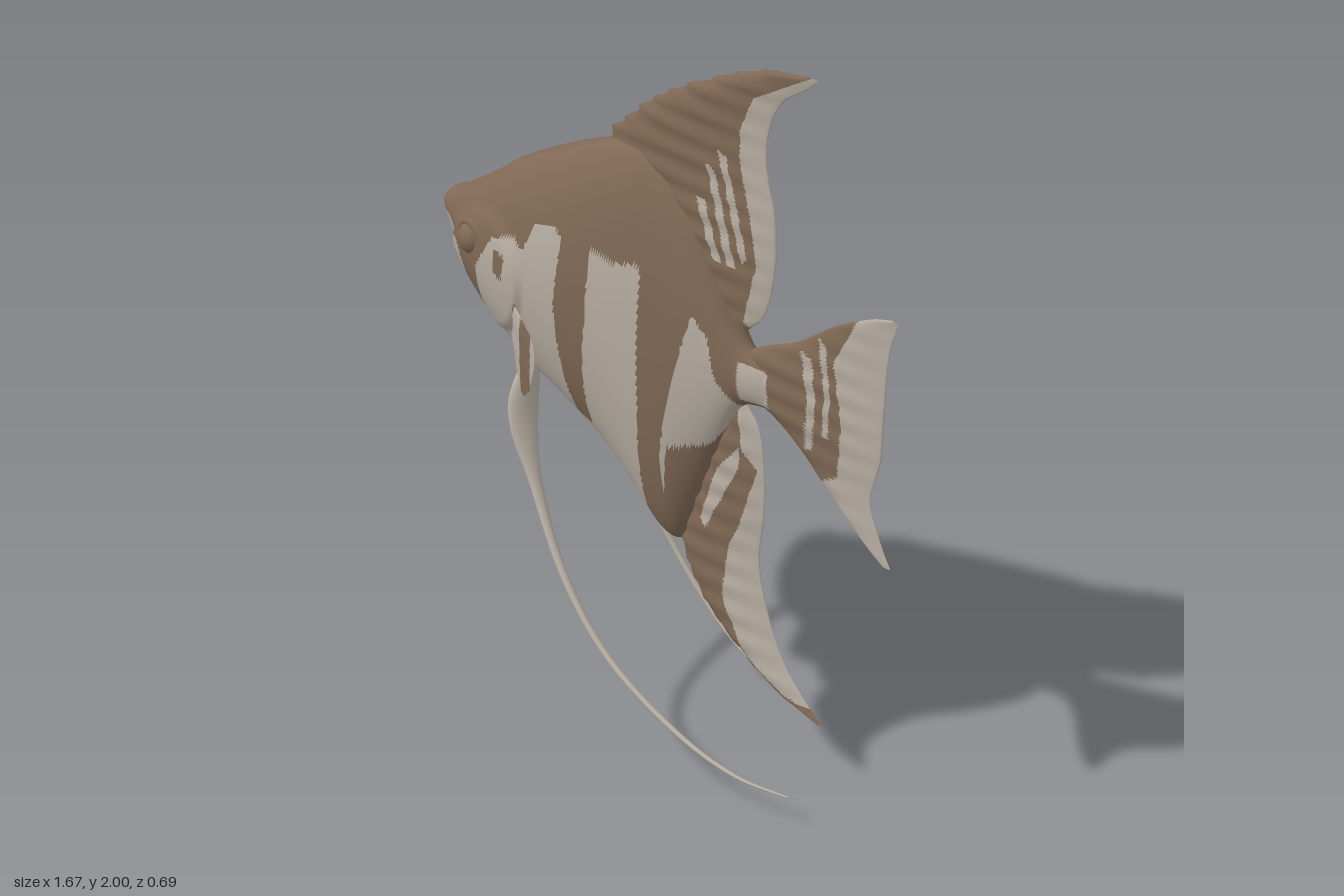
import * as THREE from 'three';

const brown = new THREE.MeshStandardMaterial({ color: 0x7f6854 });
brown.name = 'brown';
const cream = new THREE.MeshStandardMaterial({ color: 0xb6ada1 });
cream.name = 'cream';

// Cream patches per part, as flat x, y outlines in hundredths; overlaps cancel out
const PATCHES = {
  body: [
    [-86, 118, -69, 115, -66, 110, -65, 96, -78, 98],
    [-59, 112, -53, 122, -46, 124, -43, 121, -39, 130, -32, 132, -29, 129, -31, 110, -30, 92, -29, 78, -23, 77,
      -22, 94, -20, 110, -19, 130, -12, 128, -5, 130, -3, 128, -3, 92, -5, 60, -12, 50, -47, 70, -57, 87, -59, 100],
    [-52, 119, -48, 118, -49, 111, -52, 112],
    [13, 120, 18, 115, 20, 105, 26, 97, 17, 84, 5, 80, 3, 65, 3, 78, 7, 97, 11, 113],
    [27, 111, 36, 110, 36, 100, 27, 100],
  ],
  tail: [
    [66, 132, 60, 122, 63, 105, 61, 89, 53, 85, 80, 55, 95, 60, 95, 145, 72, 145],
    [48, 121, 52, 120, 54, 108, 52, 94, 49, 93, 51, 108],
    [54, 127, 57, 125, 59, 112, 58, 99, 56, 99, 57, 112],
    [20, 111, 36, 110, 36, 100, 20, 100],
  ],
  dorsal: [
    [51, 200, 30, 187, 25, 176, 25, 166, 29, 150, 31, 139, 26, 121, 40, 115, 60, 160, 60, 200],
    [17, 168, 20, 167, 28, 140, 26, 138],
    [13, 163, 16, 162, 24, 136, 21, 136],
    [10, 152, 13, 152, 19, 136, 16, 136],
  ],
  anal: [
    [24, 97, 26, 84, 31, 80, 25, 63, 21, 55, 19, 40, 27, 26, 41, 19, 60, 17, 60, 90, 35, 100],
    [25, 85, 25, 79, 13, 58, 11, 60, 17, 76],
  ],
  pectoral: [[-40, 80, -40, 120, -31, 120, -30, 80], [-22, 80, -20, 120, -10, 120, -10, 80]],
};

function isCream(part, px, py) {
  const x = px * 100, y = py * 100;
  let inside = false;
  for (const p of PATCHES[part]) {
    for (let i = 0, j = p.length - 2; i < p.length; j = i, i += 2) {
      if ((p[i + 1] > y) !== (p[j + 1] > y) &&
        x < ((p[j] - p[i]) * (y - p[i + 1])) / (p[j + 1] - p[i + 1]) + p[i]) inside = !inside;
    }
  }
  return inside;
}

// Smoothly samples the columns of a table whose first column is the ascending key
function sample(rows, t) {
  let i = 0;
  while (i < rows.length - 2 && rows[i + 1][0] < t) i++;
  const a = rows[i], b = rows[i + 1], p = rows[i - 1] || a, n = rows[i + 2] || b;
  const d = b[0] - a[0], s = (t - a[0]) / d, s2 = s * s, s3 = s2 * s;
  return a.slice(1).map((va, k) => {
    const vb = b[k + 1];
    const ma = ((vb - p[k + 1]) / (b[0] - p[0])) * d, mb = ((n[k + 1] - va) / (n[0] - a[0])) * d;
    return (2 * s3 - 3 * s2 + 1) * va + (s3 - 2 * s2 + s) * ma + (3 * s2 - 2 * s3) * vb + (s3 - s2) * mb;
  });
}

// Closed loops of points joined along u; each triangle goes to brown or cream
function loft(name, nu, nv, point, colour) {
  const pos = [], dark = [], light = [];
  for (let i = 0; i <= nu; i++) for (let j = 0; j < nv; j++) pos.push(...point(i / nu, j / nv));
  const add = (a, b, c) => {
    const mid = k => (pos[a * 3 + k] + pos[b * 3 + k] + pos[c * 3 + k]) / 3;
    (colour(mid(0), mid(1), mid(2), a % nv < nv / 2) ? light : dark).push(a, b, c);
  };
  for (let i = 0; i < nu; i++) {
    for (let j = 0; j < nv; j++) {
      const a = i * nv + j, b = i * nv + ((j + 1) % nv);
      add(a, b, a + nv);
      add(b, b + nv, a + nv);
    }
  }
  const geo = new THREE.BufferGeometry();
  geo.setAttribute('position', new THREE.Float32BufferAttribute(pos, 3));
  geo.setIndex([...dark, ...light]);
  geo.addGroup(0, dark.length, 0);
  geo.addGroup(dark.length, light.length, 1);
  geo.computeVertexNormals();
  const mesh = new THREE.Mesh(geo, [brown, cream]);
  mesh.name = name;
  return mesh;
}

// Fin from rows of [y, front x, rear x, half thickness]
function fin(name, rows, n, colour, ragged = 0, bend = () => 0) {
  const y0 = rows[0][0], y1 = rows[rows.length - 1][0];
  return loft(name, n, n * 2, (u, v) => {
    const y = y0 + (y1 - y0) * u;
    const [xl, xr, t] = sample(rows, y);
    const k = v < 0.5 ? v * 2 : 2 - v * 2;
    const left = xl + ragged * ((y * 22) % 1);
    const x = left + (Math.max(xr, left) - left) * k;
    const ribs = 1 + 0.12 * Math.sin(y * 90);
    const half = t * ribs * (1 - 0.7 * k) * Math.sqrt(Math.max(0, 4 * k * (1 - k)));
    return [x, y, (v < 0.5 ? half : -half) + bend(x)];
  }, colour);
}

// Body rows: x, top, bottom, half width
const BODY = [
  [-0.835, 1.2, 1.185, 0.012], [-0.82, 1.215, 1.16, 0.045], [-0.78, 1.235, 1.1, 0.065], [-0.72, 1.275, 1.035, 0.1],
  [-0.65, 1.325, 0.97, 0.128], [-0.58, 1.38, 0.9, 0.14], [-0.5, 1.43, 0.83, 0.145], [-0.4, 1.485, 0.785, 0.147],
  [-0.3, 1.535, 0.735, 0.145], [-0.2, 1.575, 0.675, 0.138], [-0.1, 1.58, 0.585, 0.126], [-0.02, 1.54, 0.51, 0.112],
  [0.04, 1.49, 0.52, 0.1], [0.1, 1.42, 0.65, 0.086], [0.17, 1.31, 0.81, 0.068], [0.25, 1.17, 0.96, 0.048],
  [0.3, 1.13, 0.985, 0.038], [0.38, 1.12, 0.99, 0.012],
];

function body() {
  return loft('body', 170, 110, (u, v) => {
    const x = -0.835 + 1.215 * u, a = v * Math.PI * 2;
    const [top, low, w] = sample(BODY, x);
    const y = (top + low) / 2 + ((top - low) / 2) * Math.cos(a);
    // raised gill cover with a stepped rear edge
    const r = Math.hypot(x + 0.58, (y - 1.1) * 0.9);
    const gill = 0.014 * THREE.MathUtils.smoothstep(0.16 - r, 0, 0.025);
    return [x, y, (w + gill) * Math.sin(a)];
  }, (x, y) => isCream('body', x, y));
}

// Long trailing pelvic fin: a blade that narrows to a thread
function pelvic(name, points) {
  const curve = new THREE.CatmullRomCurve3(points.map(p => new THREE.Vector3(...p)));
  const widths = [[0, 0.025, 0.02], [0.1, 0.05, 0.018], [0.17, 0.045, 0.014], [0.27, 0.02, 0.011],
    [0.5, 0.01, 0.008], [0.8, 0.007, 0.005], [1, 0.003, 0.002]];
  return loft(name, 90, 12, (u, v) => {
    const c = curve.getPoint(u), t = curve.getTangent(u);
    const side = new THREE.Vector3(0, 0, 1).addScaledVector(t, -t.z).normalize();
    const up = side.clone().cross(t);
    const [rs, ru] = sample(widths, u), a = v * Math.PI * 2;
    return c.addScaledVector(up, ru * Math.cos(a)).addScaledVector(side, rs * Math.sin(a)).toArray();
  }, () => true);
}

export function createModel() {
  const fish = new THREE.Group();
  fish.name = 'fish';
  fish.add(body());

  // Fins on the centre line
  fish.add(fin('dorsalFin', [
    [1.19, 0.22, 0.27, 0.015], [1.25, 0.13, 0.33, 0.025], [1.39, 0.03, 0.37, 0.034], [1.5, -0.1, 0.375, 0.036],
    [1.57, -0.25, 0.37, 0.036], [1.64, -0.19, 0.35, 0.036], [1.71, -0.12, 0.34, 0.034], [1.8, 0.01, 0.352, 0.031],
    [1.89, 0.17, 0.4, 0.026], [1.96, 0.33, 0.49, 0.016], [2, 0.5, 0.535, 0.005],
  ], 76, (x, y) => isCream('dorsal', x, y), 0.022));
  fish.add(fin('analFin', [
    [0.15, 0.52, 0.545, 0.005], [0.19, 0.38, 0.49, 0.014], [0.27, 0.23, 0.41, 0.022], [0.36, 0.11, 0.36, 0.027],
    [0.48, 0.03, 0.32, 0.03], [0.56, 0.02, 0.312, 0.03], [0.68, 0.07, 0.33, 0.03], [0.81, 0.13, 0.33, 0.028],
    [0.92, 0.19, 0.31, 0.022], [0.98, 0.23, 0.26, 0.015],
  ], 76, (x, y) => isCream('anal', x, y), 0.012));
  fish.add(fin('tailFin', [
    [0.69, 0.77, 0.8, 0.004], [0.74, 0.69, 0.77, 0.007], [0.85, 0.55, 0.725, 0.012], [0.93, 0.45, 0.745, 0.018],
    [0.985, 0.35, 0.765, 0.024], [1.02, 0.26, 0.77, 0.03], [1.12, 0.26, 0.778, 0.03], [1.165, 0.33, 0.782, 0.024],
    [1.22, 0.45, 0.785, 0.018], [1.32, 0.6, 0.8, 0.011], [1.39, 0.74, 0.825, 0.007], [1.41, 0.81, 0.835, 0.004],
  ], 76, (x, y) => isCream('tail', x, y)));

  // Paired pectoral fins and eyes
  for (const s of [1, -1]) {
    fish.add(fin(s > 0 ? 'leftPectoralFin' : 'rightPectoralFin', [
      [0.9, -0.31, -0.27, 0.004], [0.95, -0.39, -0.215, 0.008], [1, -0.45, -0.185, 0.012],
      [1.05, -0.46, -0.165, 0.012], [1.09, -0.37, -0.175, 0.008], [1.11, -0.26, -0.22, 0.004],
    ], 36, (x, y, z, front) => (front === s > 0 ? isCream('pectoral', x, y) : x > -0.4), 0,
    x => s * (0.135 + 0.21 * Math.pow(Math.max(0, (x + 0.46) / 0.295), 0.8))));

    const eye = new THREE.Group();
    eye.name = s > 0 ? 'leftEye' : 'rightEye';
    const ball = new THREE.Mesh(new THREE.SphereGeometry(0.042, 24, 16), brown);
    ball.name = 'eyeball';
    ball.scale.z = 0.75;
    const rim = new THREE.Mesh(new THREE.TorusGeometry(0.045, 0.012, 10, 28), brown);
    rim.name = 'eyeRim';
    eye.add(ball, rim);
    eye.position.set(-0.63, 1.175, s * 0.131);
    eye.rotation.y = -s * 0.2;
    fish.add(eye);
  }

  // Pelvic fins of different sweep
  fish.add(pelvic('leftPelvicFin', [
    [-0.47, 0.86, 0.07], [-0.43, 0.74, 0.135], [-0.32, 0.57, 0.185], [-0.17, 0.39, 0.23], [0.01, 0.24, 0.252],
    [0.28, 0.12, 0.26], [0.49, 0.073, 0.256], [0.68, 0.078, 0.25],
  ]));
  fish.add(pelvic('rightPelvicFin', [
    [-0.47, 0.86, -0.07], [-0.45, 0.74, -0.135], [-0.41, 0.6, -0.18], [-0.31, 0.36, -0.235], [-0.17, 0.185, -0.252],
    [-0.02, 0.07, -0.26], [0.2, 0.004, -0.262],
  ]));
  return fish;
}
